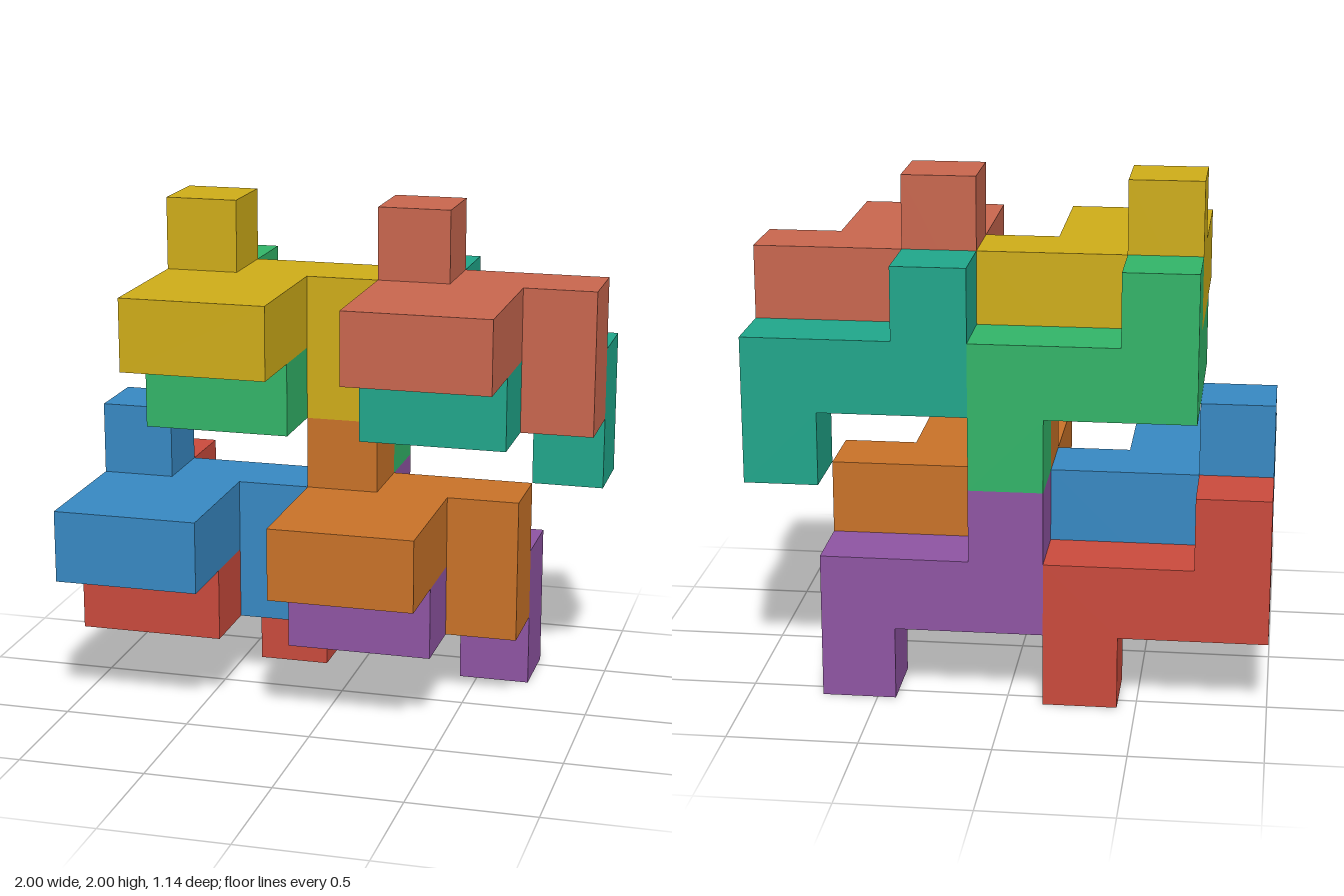
import * as THREE from 'three';
import { mergeGeometries } from 'three/addons/utils/BufferGeometryUtils.js';

const U = 2 / 7; // edge of one cube cell

// One puzzle piece in cell units: a stepped back plate with a 2 x 2 slab in front of it.
// Origin is the lower, right, back corner of its three-cell row.
function pieceGeometry() {
  const outline = [[0, 0], [2, 0], [2, -1], [3, -1], [3, 1], [1, 1], [1, 2], [0, 2]];
  const shape = new THREE.Shape(outline.map(([x, y]) => new THREE.Vector2(x, y)));
  const plate = new THREE.ExtrudeGeometry(shape, { depth: 1, bevelEnabled: false });
  const slab = new THREE.BoxGeometry(2, 1, 2).toNonIndexed();
  slab.translate(1, 0.5, 2);
  return mergeGeometries([plate, slab]).scale(U, U, U);
}

export function createModel() {
  const model = new THREE.Group();
  model.name = 'interlockingPuzzle';
  const geometry = pieceGeometry();

  // name, colour, column, row, layer (in cells)
  const pieces = [
    ['lowerRightBackPiece', 0xc94a3c, 0, 1, 0],
    ['lowerRightFrontPiece', 0x3788c2, 0, 2, 1],
    ['lowerLeftBackPiece', 0x8e54a2, 3, 1, 0],
    ['lowerLeftFrontPiece', 0xc87228, 3, 2, 1],
    ['upperRightBackPiece', 0x32b468, 1, 4, 0],
    ['upperRightFrontPiece', 0xceac18, 1, 5, 1],
    ['upperLeftBackPiece', 0x20a68a, 4, 4, 0],
    ['upperLeftFrontPiece', 0xc8664e, 4, 5, 1],
  ];
  for (const [name, color, column, row, layer] of pieces) {
    const material = new THREE.MeshStandardMaterial({ color });
    const piece = new THREE.Mesh(geometry, material);
    piece.name = name;
    piece.position.set(-1 + column * U, row * U, (layer - 2) * U);
    model.add(piece);
  }
  return model;
}
